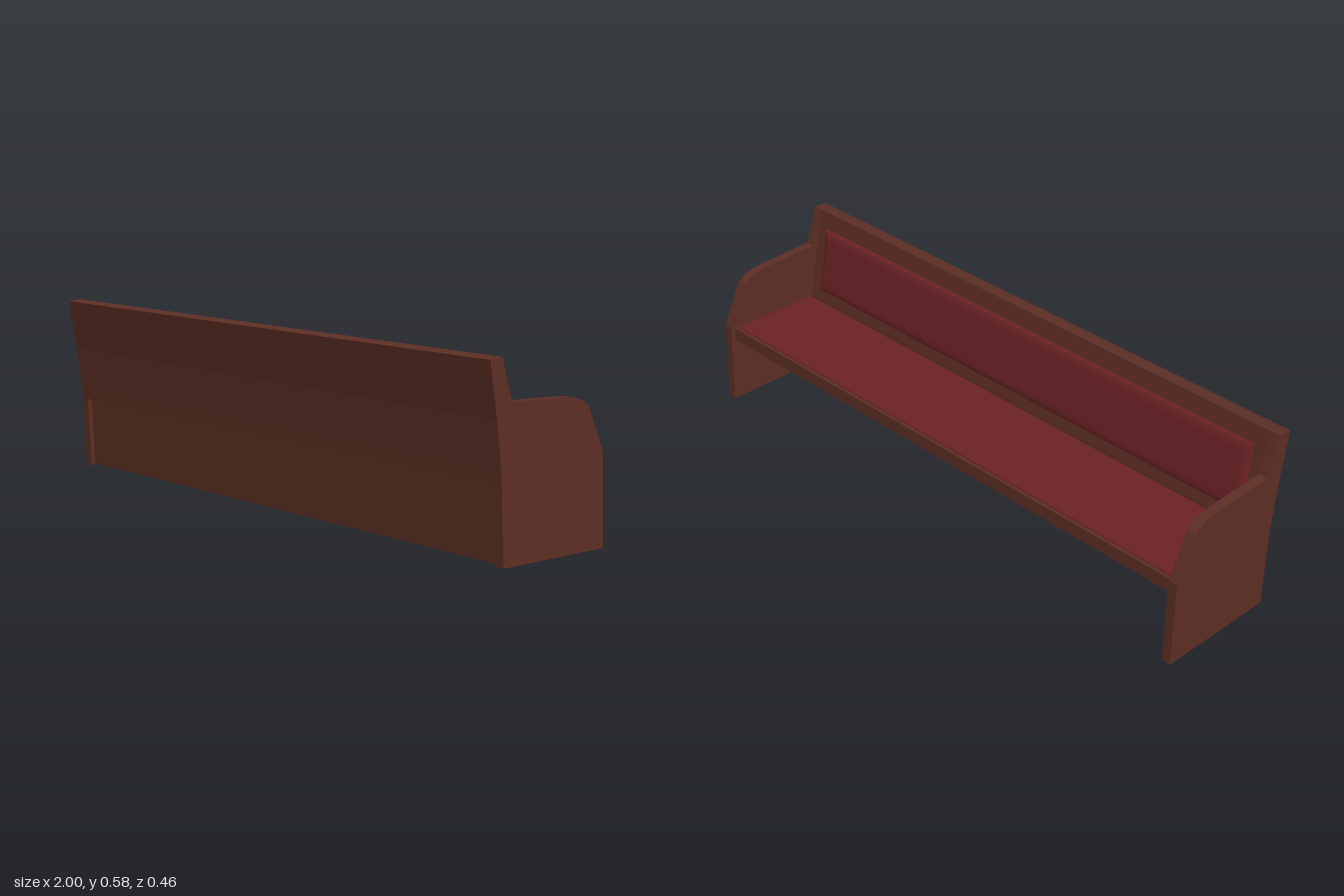
import * as THREE from 'three';

const wood = new THREE.MeshStandardMaterial({ color: 0x5c2e24 });
wood.name = 'dark wood';
const fabric = new THREE.MeshStandardMaterial({ color: 0x6b2225 });
fabric.name = 'red upholstery';

// Extrude a (z, y) profile along x, from x0 to x1
function alongX(name, profile, x0, x1, material) {
  const shape = new THREE.Shape(profile.map(([z, y]) => new THREE.Vector2(-z, y)));
  const geometry = new THREE.ExtrudeGeometry(shape, { depth: x1 - x0, bevelEnabled: false });
  geometry.rotateY(Math.PI / 2).translate(x0, 0, 0);
  const mesh = new THREE.Mesh(geometry, material);
  mesh.name = name;
  return mesh;
}

// Padded cushion: rounded rectangle lying in XY, swelling toward +z
function cushion(name, width, height, thickness, bevel) {
  const w = width / 2 - bevel, h = height / 2 - bevel;
  const shape = new THREE.Shape([[-w, -h], [w, -h], [w, h], [-w, h]].map(([x, y]) => new THREE.Vector2(x, y)));
  const geometry = new THREE.ExtrudeGeometry(shape, {
    depth: 0.002, bevelSize: bevel, bevelThickness: thickness, bevelSegments: 4,
  });
  const mesh = new THREE.Mesh(geometry, fabric);
  mesh.name = name;
  return mesh;
}

export function createModel() {
  const group = new THREE.Group();
  group.name = 'pew';

  // End panels with rounded arm rests
  const endProfile = [
    [0.17, 0.003], [-0.23, 0], [-0.222, 0.275], [-0.168, 0.39], [-0.155, 0.415],
    [-0.13, 0.431], [-0.1, 0.441], [-0.07, 0.445], [0.145, 0.453], [0.167, 0.51],
    [0.185, 0.577], [0.232, 0.573], [0.203, 0.41], [0.185, 0.275], [0.181, 0.22],
  ];
  group.add(alongX('rightEndPanel', endProfile, -1, -0.97, wood));
  group.add(alongX('leftEndPanel', endProfile, 0.97, 1, wood));

  // Leaning backrest board
  group.add(alongX('backrest', [
    [0.128, 0.235], [0.13, 0.27], [0.163, 0.453], [0.185, 0.577],
    [0.232, 0.573], [0.203, 0.41], [0.185, 0.275], [0.182, 0.235],
  ], -0.97, 0.97, wood));

  // Recessed lower panel below the backrest
  group.add(alongX('lowerBackPanel', [
    [0.142, 0.008], [0.145, 0.236], [0.166, 0.236], [0.158, 0.008],
  ], -0.97, 0.97, wood));

  // Seat board with a lipped edge
  group.add(alongX('seat', [
    [0.145, 0.235], [-0.188, 0.235], [-0.188, 0.222], [-0.206, 0.222],
    [-0.206, 0.266], [-0.2, 0.27], [-0.192, 0.264], [0.145, 0.26],
  ], -0.97, 0.97, wood));

  // Seat cushion
  const seatCushion = cushion('seatCushion', 1.934, 0.315, 0.01, 0.012);
  seatCushion.rotation.x = -Math.PI / 2;
  seatCushion.position.set(0, 0.262, -0.037);
  group.add(seatCushion);

  // Back cushion, leaning with the backrest
  const backCushion = cushion('backCushion', 1.85, 0.22, 0.014, 0.03);
  backCushion.rotation.set(-0.178, Math.PI, 0, 'XYZ');
  backCushion.position.set(0, 0.412, 0.157);
  backCushion.rotation.x = Math.atan2(0.055, 0.307);
  group.add(backCushion);

  return group;
}
